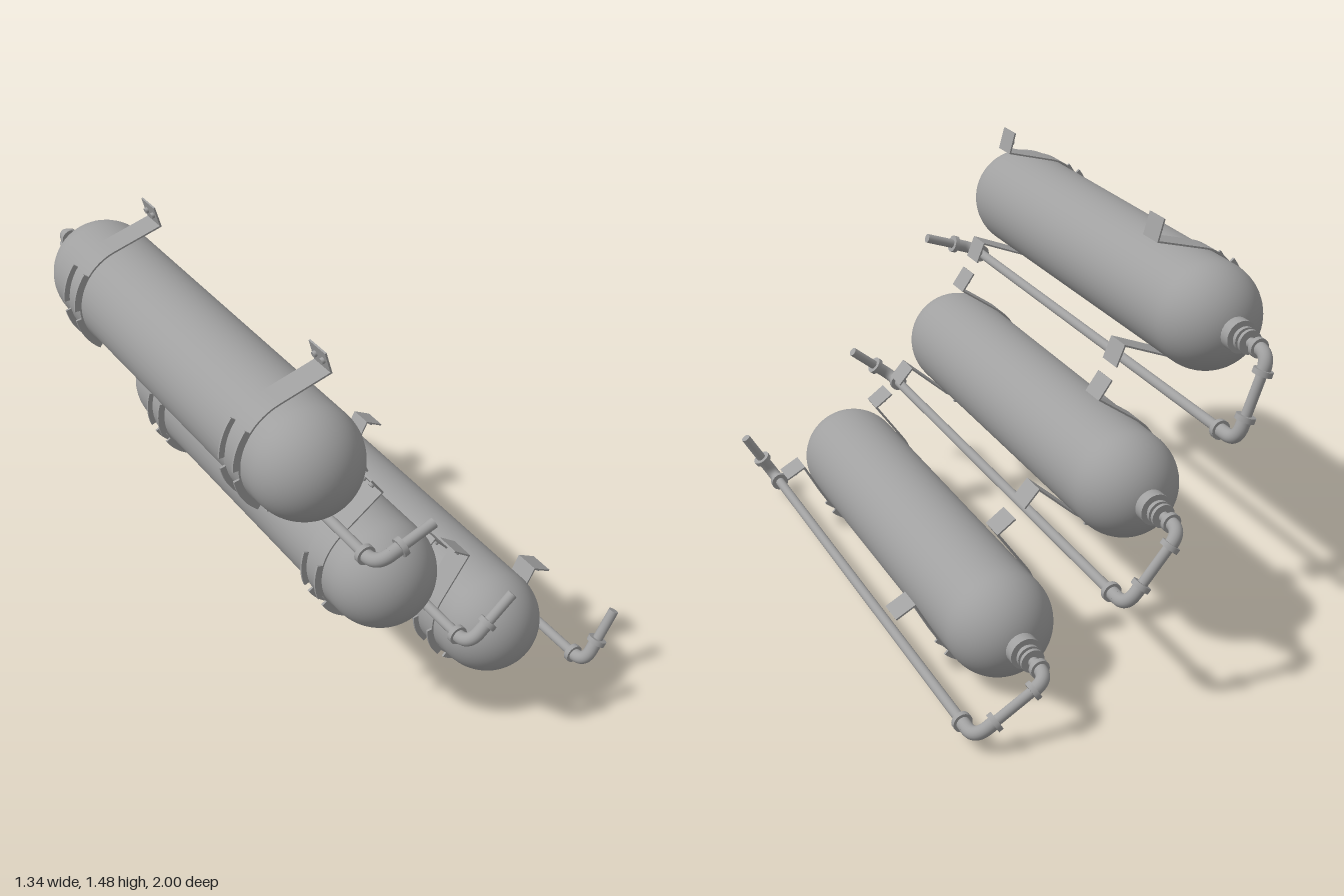
import * as THREE from 'three';
import { toCreasedNormals } from 'three/addons/utils/BufferGeometryUtils.js';

const steel = new THREE.MeshStandardMaterial({ color: 0xa0a0a0 });
steel.name = 'grey steel';

const V = (x, y, z) => new THREE.Vector3(x, y, z);
const rad = THREE.MathUtils.degToRad;
const polar = (r, deg) => new THREE.Vector2(r * Math.cos(rad(deg)), r * Math.sin(rad(deg)));

function add(parent, name, geometry) {
  const mesh = new THREE.Mesh(geometry, steel);
  mesh.name = name;
  parent.add(mesh);
  return mesh;
}

// Solid round bar between two points
function rod(parent, name, a, b, r) {
  const dir = b.clone().sub(a);
  const mesh = add(parent, name, new THREE.CylinderGeometry(r, r, dir.length(), 24));
  mesh.position.copy(a).add(b).multiplyScalar(0.5);
  mesh.quaternion.setFromUnitVectors(V(0, 1, 0), dir.normalize());
  return mesh;
}

// Flat outline extruded along z, centred on z
function slab(points, width) {
  const geo = new THREE.ExtrudeGeometry(new THREE.Shape(points), { depth: width, bevelEnabled: false });
  geo.translate(0, 0, -width / 2);
  return toCreasedNormals(geo, rad(25));
}

// Thin strip outline following an open path, with mitred corners
function stripOutline(path, t) {
  const normal = (a, b) => new THREE.Vector2(a.y - b.y, b.x - a.x).normalize();
  const back = path.map((p, i) => {
    const n1 = normal(path[Math.max(i - 1, 0)], path[Math.max(i, 1)]);
    const last = path.length - 1;
    const n2 = normal(path[Math.min(i, last - 1)], path[Math.min(i + 1, last)]);
    const m = n1.clone().add(n2).normalize();
    return p.clone().addScaledVector(m, t / m.dot(n1));
  });
  return [...path, ...back.reverse()];
}

// Sector of a ring
function ringSector(r0, r1, a0, a1, n = 12) {
  const outer = [], inner = [];
  for (let i = 0; i <= n; i++) {
    const a = a0 + (a1 - a0) * i / n;
    outer.push(polar(r1, a));
    inner.push(polar(r0, a));
  }
  return [...outer, ...inner.reverse()];
}

// Round-ended cylinder with a stepped neck at the back
function buildTank(unit) {
  const R = 0.185, profile = [];
  for (let i = 0; i <= 16; i++) {
    const p = polar(R, -90 + i * 90 / 16);
    profile.push(new THREE.Vector2(Math.max(p.x, 0), -0.72 + p.y));
  }
  for (let i = 0; i <= 16; i++) {
    const p = polar(R, i * 90 / 16);
    profile.push(new THREE.Vector2(Math.max(p.x, 0), 0.6 + p.y));
  }
  const tank = new THREE.LatheGeometry(profile, 64);
  tank.rotateX(-Math.PI / 2);
  add(unit, 'tank', tank);
  const neck = [[0.055, -0.76, -0.815], [0.034, -0.815, -0.825], [0.041, -0.825, -0.838],
    [0.03, -0.838, -0.85], [0.041, -0.85, -0.862]];
  neck.forEach(([r, z0, z1]) => rod(unit, 'neckRing', V(0, 0, z0), V(0, 0, z1), r));
}

// Pipe that leaves the neck, turns back along the tank and ends in an outlet
function buildPipe(unit) {
  const pipe = new THREE.Group();
  pipe.name = 'pipe';
  pipe.rotation.z = rad(-50);
  unit.add(pipe);
  const D = 0.292, Z = 0.965, bend = 0.055;
  const pts = [V(0, 0, -0.85), V(0, 0, -Z), V(D, 0, -Z), V(D, 0, Z), V(D, 0.22, Z)];
  // Flange distance before and after each corner
  const gaps = [[0.06, 0.058], [0.08, 0.095], [0.06, 0.095]];
  for (let i = 0; i < 4; i++) {
    const dir = pts[i + 1].clone().sub(pts[i]).normalize();
    const a = pts[i].clone().addScaledVector(dir, i > 0 ? bend : 0);
    const b = pts[i + 1].clone().addScaledVector(dir, i < 3 ? -bend : 0);
    rod(pipe, 'pipeRun', a, b, 0.0175);
  }
  gaps.forEach((gap, i) => {
    const c = pts[i + 1];
    const ends = [pts[i], pts[i + 2]].map((p, k) => {
      const dir = p.clone().sub(c).normalize();
      const start = c.clone().addScaledVector(dir, bend);
      const f = c.clone().addScaledVector(dir, gap[k]);
      rod(pipe, 'elbowSleeve', start, f, 0.023);
      rod(pipe, 'flange', f.clone().addScaledVector(dir, -0.009), f.clone().addScaledVector(dir, 0.009), 0.033);
      return start;
    });
    const curve = new THREE.QuadraticBezierCurve3(ends[0], c, ends[1]);
    add(pipe, 'elbow', new THREE.TubeGeometry(curve, 12, 0.023, 20));
  });
}

// Strap wrapped round the tank, with bent mounting tabs and edge ribs
function buildStrap(unit, z) {
  const strap = new THREE.Group();
  strap.name = 'strap';
  strap.position.z = z;
  unit.add(strap);
  const W = 0.09, r = 0.187, a0 = 125.5, a1 = 312.3;
  const upper = polar(r, a0).add(polar(0.188, a0 - 90));
  const lower = polar(r, a1).add(polar(0.18, a1 + 90));
  const path = [upper.clone().add(polar(0.08, a0)), upper];
  for (let i = 0; i <= 40; i++) path.push(polar(r, a0 + (a1 - a0) * i / 40));
  path.push(lower, lower.clone().add(polar(0.08, a1)));
  add(strap, 'band', slab(stripOutline(path, -0.006), W));

  // Ribs along both edges
  [[162, 200], [210, 252], [262, 294]].forEach(([s, e]) => {
    const geo = slab(ringSector(0.188, 0.212, s, e), 0.008);
    for (const side of [-1, 1]) add(strap, 'rib', geo).position.z = side * (W / 2 - 0.004);
  });

  // Bolts on the inner side of the tabs
  [[upper, a0, a0 + 90], [lower, a1, a1 - 90]].forEach(([corner, along, inward]) => {
    const p = corner.clone().add(polar(0.042, along));
    const q = p.clone().add(polar(0.016, inward));
    for (const dz of [-0.022, 0.022]) rod(strap, 'bolt', V(p.x, p.y, dz), V(q.x, q.y, dz), 0.01);
  });
}

export function createModel() {
  const model = new THREE.Group();
  model.name = 'tankRack';
  // Three identical units, each turned 20 degrees further
  [[-0.455, 1.18, -20], [-0.17, 0.632, 0], [0.29, 0.218, 20]].forEach(([x, y, turn]) => {
    const unit = new THREE.Group();
    unit.name = 'tankUnit';
    unit.position.set(x, y, 0);
    unit.rotation.z = rad(turn);
    buildTank(unit);
    buildPipe(unit);
    for (const z of [0.622, -0.455]) buildStrap(unit, z);
    model.add(unit);
  });
  return model;
}
